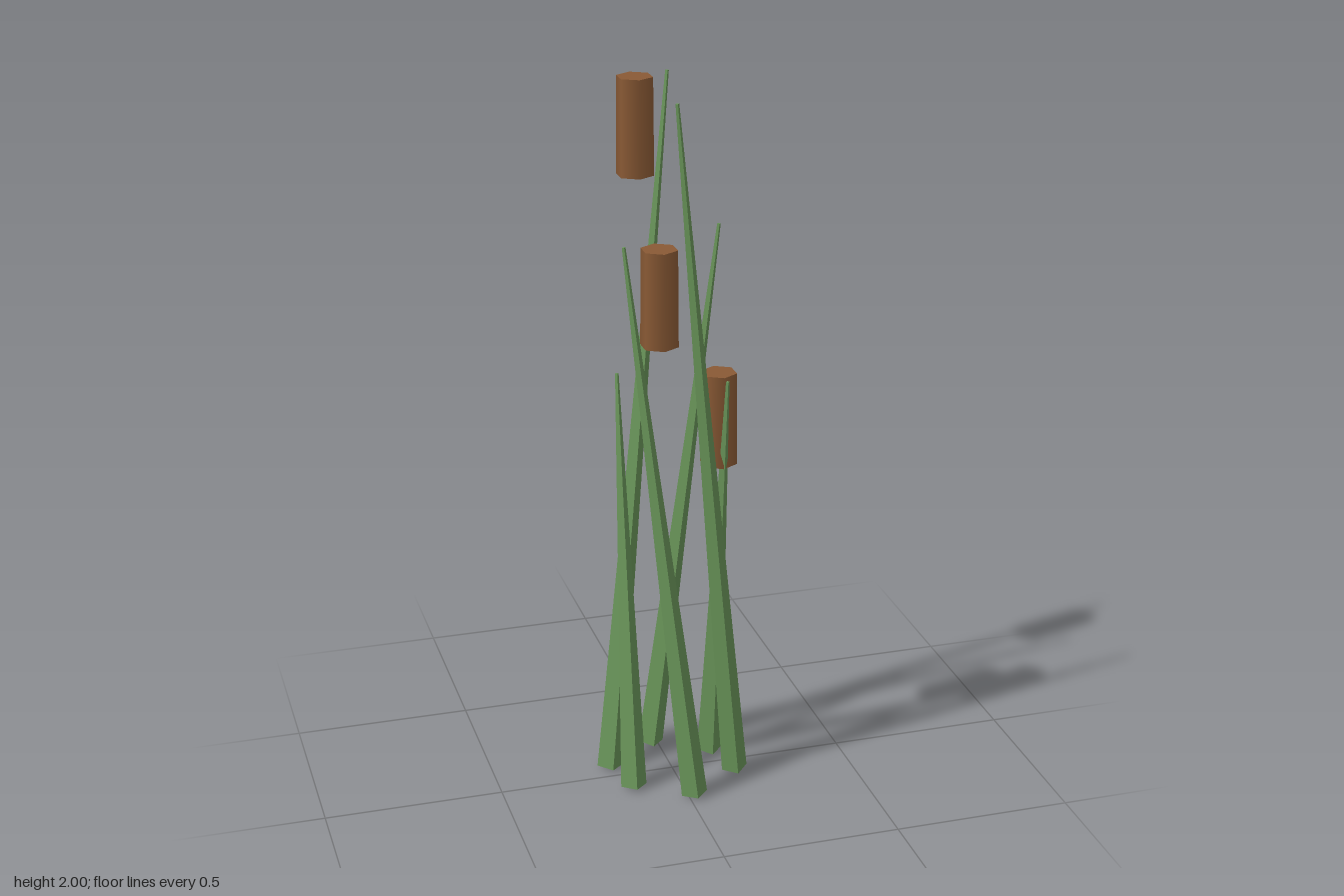
import * as THREE from 'three';

const UP = new THREE.Vector3(0, 1, 0);

export function createModel() {
  const group = new THREE.Group();
  group.name = 'cattails';
  const green = new THREE.MeshStandardMaterial({ color: 0x6a965a, flatShading: true });
  const brown = new THREE.MeshStandardMaterial({ color: 0x8a5a35 });

  // Four-sided tapered leaf running from base to tip
  function addLeaf(name, base, tip) {
    const dir = tip.clone().sub(base);
    const leaf = new THREE.Mesh(new THREE.CylinderGeometry(0.005, 0.037, dir.length(), 4), green);
    leaf.name = name;
    leaf.position.copy(base).add(tip).multiplyScalar(0.5);
    leaf.quaternion.setFromUnitVectors(UP, dir.normalize());
    group.add(leaf);
  }

  // Leaves in opposite pairs: base x, z, tip x, z, tip height
  [
    [0.17, 0.055, -0.038, 0.177, 1.995],
    [0.018, 0.163, -0.15, 0.067, 1.597],
    [-0.134, 0.073, -0.134, -0.073, 1.198],
  ].forEach(([bx, bz, tx, tz, h], i) => {
    for (const s of [1, -1]) {
      addLeaf(`leaf${i + 1}${s > 0 ? 'Front' : 'Back'}`,
        new THREE.Vector3(s * bx, 0.006, s * bz),
        new THREE.Vector3(s * tx, h, s * tz));
    }
  });

  // Hexagonal seed heads, evenly spaced in a ring and stepped in height
  const headHeight = 0.264;
  [
    [0.132, 0, 1.2],
    [-0.068, 0.115, 1.6],
    [-0.068, -0.115, 2.0],
  ].forEach(([x, z, top], i) => {
    const head = new THREE.Mesh(new THREE.CylinderGeometry(0.05, 0.052, headHeight, 6), brown);
    head.name = `seedHead${i + 1}`;
    head.position.set(x, top - headHeight / 2, z);
    group.add(head);
  });

  return group;
}
